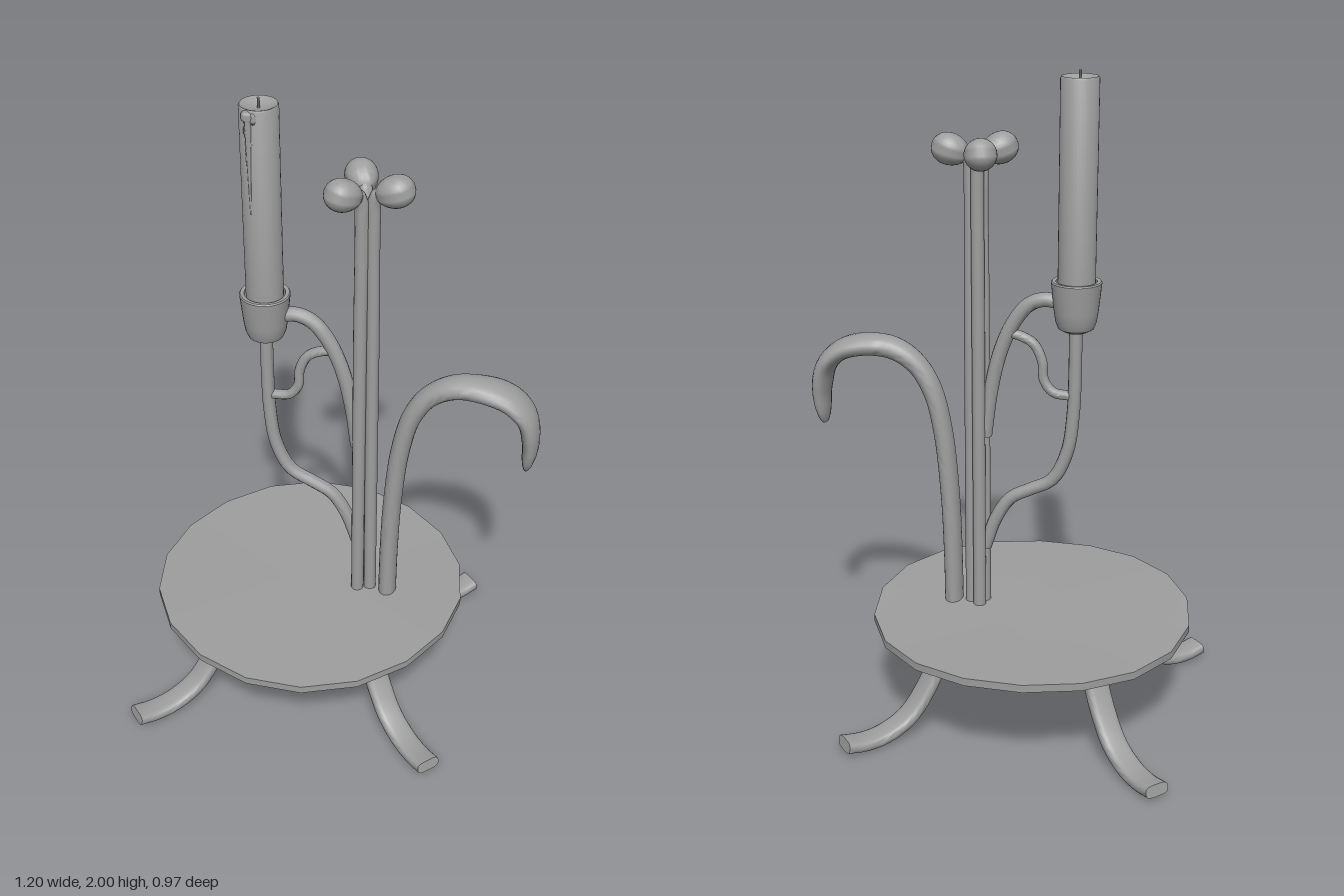
import * as THREE from 'three';
import { toCreasedNormals } from 'three/addons/utils/BufferGeometryUtils.js';

const material = new THREE.MeshStandardMaterial({ color: 0x9e9e9e });
const V = (x, y, z = 0) => new THREE.Vector3(x, y, z);

function add(parent, name, geometry, crease = 0.7) {
  const mesh = new THREE.Mesh(toCreasedNormals(geometry, crease), material);
  mesh.name = name;
  parent.add(mesh);
  return mesh;
}

// Sweeps a (super)elliptical section along a path in the xy plane.
// size(t) gives [half thickness in the plane, half width along z]; power < 1 squares the section.
function sweep(points, size, { steps = 40, sides = 16, power = 1 } = {}) {
  const curve = new THREE.CatmullRomCurve3(points.map(([x, y]) => V(x, y)));
  const pos = [], idx = [];
  const round = (v) => Math.sign(v) * Math.abs(v) ** power;
  for (let i = 0; i <= steps; i++) {
    const t = i / steps, c = curve.getPointAt(t), d = curve.getTangentAt(t), [h, w] = size(t);
    for (let j = 0; j < sides; j++) {
      const a = (j / sides) * Math.PI * 2, n = round(Math.cos(a)) * h;
      pos.push(c.x - d.y * n, c.y + d.x * n, round(Math.sin(a)) * w);
    }
  }
  for (let i = 0; i < steps; i++) {
    for (let j = 0; j < sides; j++) {
      const a = i * sides + j, b = i * sides + ((j + 1) % sides);
      idx.push(a, b, a + sides, b, b + sides, a + sides);
    }
  }
  // End caps
  const last = steps * sides, centre = pos.length / 3;
  for (const t of [0, 1]) pos.push(...curve.getPointAt(t).toArray());
  for (let j = 0; j < sides; j++) {
    const k = (j + 1) % sides;
    idx.push(centre, k, j, centre + 1, last + j, last + k);
  }
  const g = new THREE.BufferGeometry();
  g.setAttribute('position', new THREE.Float32BufferAttribute(pos, 3));
  g.setIndex(idx);
  return g;
}

// Smooth interpolation through [t, ...values] keys
function keyed(keys) {
  return (t) => {
    let i = 1;
    while (i < keys.length - 1 && t > keys[i][0]) i++;
    const [a, b] = [keys[i - 1], keys[i]];
    const s = (t - a[0]) / (b[0] - a[0]);
    return a.slice(1).map((v, k) => v + (b[k + 1] - v) * s);
  };
}

function addBase(group) {
  // Slightly warped 18-sided plate
  const plate = new THREE.CylinderGeometry(0.494, 0.494, 0.024, 18, 1);
  plate.rotateY(Math.PI / 2);
  const p = plate.attributes.position;
  for (let i = 0; i < p.count; i++) {
    const x = p.getX(i), z = p.getZ(i), r = Math.hypot(x, z) / 0.494;
    p.setY(i, p.getY(i) + 0.006 * r * Math.sin(3 * Math.atan2(z, x) + 0.4));
  }
  plate.translate(-0.101, 0.326, 0);
  add(group, 'basePlate', plate, 0.5);

  // Four splayed strip feet
  const path = [[0, 0.325], [0.025, 0.24], [0.075, 0.14], [0.14, 0.062],
    [0.22, 0.025], [0.29, 0.019], [0.354, 0.03]];
  for (const sx of [-1, 1]) {
    for (const sz of [-1, 1]) {
      const foot = add(group, 'foot', sweep(path, () => [0.019, 0.039], { steps: 24, sides: 20, power: 0.6 }), 0.9);
      foot.position.set(-0.1 + sx * 0.225, 0, sz * 0.187);
      foot.rotation.y = -Math.atan2(sz, sx);
    }
  }
}

function addFlowerStems(group) {
  for (const degrees of [0, 137, -114]) {
    const a = THREE.MathUtils.degToRad(degrees);
    const at = (r, y) => V(0.073 + Math.cos(a) * r, y, Math.sin(a) * r);
    // Straight stem that bends outward under its bud
    const curve = new THREE.CatmullRomCurve3(
      [at(0.022, 0.33), at(0.021, 0.8), at(0.02, 1.3), at(0.018, 1.68), at(0.022, 1.74), at(0.045, 1.76)]);
    add(group, 'stem', new THREE.TubeGeometry(curve, 60, 0.02, 12));
    // Egg-shaped bud, narrow end toward the stems
    const egg = new THREE.SphereGeometry(1, 24, 16);
    const p = egg.attributes.position;
    for (let i = 0; i < p.count; i++) {
      const k = 1 + 0.1 * p.getX(i);
      p.setXYZ(i, p.getX(i) * 0.057, p.getY(i) * 0.046 * k, p.getZ(i) * 0.047 * k);
    }
    const bud = add(group, 'bud', egg, 2);
    bud.position.copy(at(0.076, 1.763));
    bud.rotation.y = -a;
    bud.rotateZ(0.3);
  }
}

function addLeaf(group) {
  const path = [[0.153, 0.335], [0.155, 0.5], [0.163, 0.7], [0.183, 0.9], [0.215, 1.03], [0.265, 1.11],
    [0.335, 1.153], [0.42, 1.159], [0.5, 1.137], [0.552, 1.085], [0.571, 1], [0.567, 0.925], [0.564, 0.897]];
  const size = keyed([[0, 0.028, 0.04], [0.5, 0.029, 0.038], [0.6, 0.031, 0.038], [0.68, 0.034, 0.046],
    [0.76, 0.033, 0.061], [0.83, 0.03, 0.067], [0.9, 0.028, 0.059], [0.96, 0.022, 0.045],
    [0.985, 0.016, 0.034], [1, 0.008, 0.018]]);
  add(group, 'curledLeaf', sweep(path, size, { steps: 70, sides: 20 }), 1);
}

function addCandleHolder(group) {
  const x = -0.225;
  // Curving arms
  const arms = {
    lowerArm: [0.02, [[x, 1.27], [x, 1.12], [-0.222, 1], [-0.205, 0.87], [-0.16, 0.775], [-0.09, 0.735],
      [-0.03, 0.7], [0.015, 0.63], [0.05, 0.53]]],
    upperArm: [0.022, [[-0.18, 1.333], [-0.13, 1.338], [-0.085, 1.32], [-0.04, 1.265], [0, 1.175],
      [0.03, 1.05], [0.05, 0.9]]],
    tendril: [0.015, [[-0.215, 1.048], [-0.16, 1.055], [-0.132, 1.09], [-0.125, 1.15],
      [-0.1, 1.2], [-0.06, 1.222], [-0.015, 1.23]]],
  };
  for (const [name, [r, path]] of Object.entries(arms)) {
    add(group, name, sweep(path, () => [r, r], { sides: 12 }));
  }
  const lathe = (name, profile, crease) => {
    const g = new THREE.LatheGeometry(profile.map(([r, y]) => new THREE.Vector2(r, y)), 32);
    g.translate(x, 0, 0);
    add(group, name, g, crease);
  };
  lathe('candleCup', [[0, 1.246], [0.034, 1.249], [0.052, 1.259], [0.06, 1.278], [0.065, 1.31],
    [0.074, 1.397], [0.071, 1.401], [0.06, 1.4], [0.057, 1.36], [0, 1.36]], 0.6);
  lathe('candle', [[0, 1.35], [0.055, 1.35], [0.055, 1.976], [0.052, 1.982], [0.046, 1.98],
    [0.034, 1.973], [0, 1.968]], 0.8);
  const wick = new THREE.CylinderGeometry(0.004, 0.004, 0.04, 8);
  wick.translate(x, 1.978, 0);
  add(group, 'wick', wick);

  // Wax run: beads that shrink down the front of the candle, strung on a tapering trickle
  const side = (a, y, r = 0.054) => V(x + Math.sin(a) * r, y, Math.cos(a) * r);
  const beads = [[-0.38, 1.962, 0.02, 0.018], [-0.36, 1.922, 0.014, 0.02], [-0.3, 1.885, 0.012, 0.018],
    [-0.36, 1.845, 0.011, 0.02], [-0.05, 1.958, 0.011, 0.02], [-0.3, 1.79, 0.008, 0.024]];
  for (const [a, y, r, h] of beads) {
    const bead = new THREE.SphereGeometry(1, 14, 10);
    bead.scale(r, h, r * 0.8);
    add(group, 'waxBead', bead, 2).position.copy(side(a, y, 0.05));
  }
  const trickle = new THREE.CylinderGeometry(0.011, 0.003, 0.29, 10);
  add(group, 'waxTrickle', trickle).position.copy(side(-0.32, 1.82, 0.053));
}

export function createModel() {
  const group = new THREE.Group();
  group.name = 'candlestick';
  addBase(group);
  addFlowerStems(group);
  addLeaf(group);
  addCandleHolder(group);
  return group;
}
